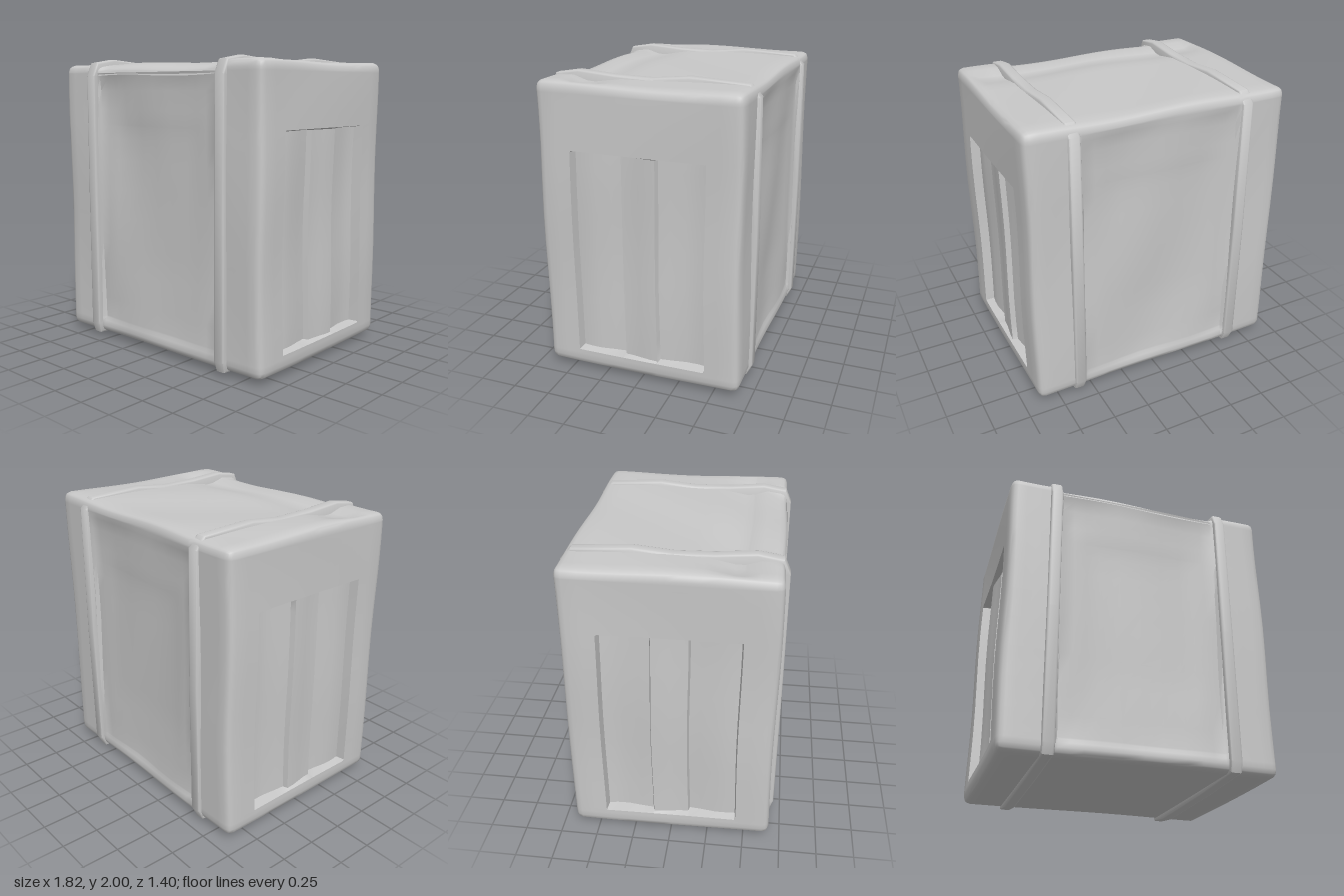
import * as THREE from 'three';
import { mergeVertices, toCreasedNormals } from 'three/addons/utils/BufferGeometryUtils.js';

const HX = 0.905, HZ = 0.67, Y0 = 0.035, Y1 = 1.965, R = 0.05;

// smooth step from 0 to 1 between a and b
const step = (v, a, b) => THREE.MathUtils.smoothstep(v, a, b);
// 1 inside the interval a..b, falling to 0 over width w outside it
const band = (v, a, b, w) => step(v, a - w, a) * (1 - step(v, b, b + w));
const mirror = (list) => [...list.map((v) => -v).reverse(), 0, ...list];

// Wrapped bale: a box grid with soft edges, sunken panels and creased cloth
function bodyGeometry() {
  const xs = mirror([0.14, 0.28, 0.38, 0.46, 0.54, 0.56, 0.6, 0.7, 0.8, 0.86, 0.89, HX]);
  const zs = mirror([0.06, 0.115, 0.125, 0.2, 0.3, 0.38, 0.435, 0.445, 0.53, 0.62, 0.65, HZ]);
  const ys = [Y0, 0.05, 0.085, 0.12, 0.145, 0.155, 0.3, 0.5, 0.7, 0.9, 1.1, 1.3, 1.45,
    1.535, 1.545, 1.65, 1.78, 1.86, 1.9, 1.915, 1.95, Y1];
  const nx = xs.length - 1, ny = ys.length - 1, nz = zs.length - 1;
  let geo = new THREE.BoxGeometry(nx, ny, nz, nx, ny, nz);
  geo.deleteAttribute('uv');
  geo.deleteAttribute('normal');
  const pos = geo.attributes.position;
  const p = new THREE.Vector3(), inner = new THREE.Vector3();
  const lo = new THREE.Vector3(-HX + R, Y0 + R, -HZ + R);
  const hi = new THREE.Vector3(HX - R, Y1 - R, HZ - R);
  for (let i = 0; i < pos.count; i++) {
    const x = xs[Math.round(pos.getX(i) + nx / 2)];
    const y = ys[Math.round(pos.getY(i) + ny / 2)];
    const z = zs[Math.round(pos.getZ(i) + nz / 2)];
    // rounded edges
    p.set(x, y, z);
    inner.copy(p).clamp(lo, hi);
    p.sub(inner);
    if (p.length() > 0) p.setLength(R);
    p.add(inner);
    // pleated recesses in both ends, with a raised middle fold
    if (Math.abs(x) === HX) {
      const opening = band(z, -0.435, 0.435, 0.01) * band(y, 0.155, 1.535, 0.01);
      const fold = band(z, -0.115, 0.115, 0.01);
      p.x -= Math.sign(x) * opening * (0.065 - 0.035 * fold + 0.012 * Math.sin(z * 14));
    }
    // panels between the straps, front and back
    if (Math.abs(z) === HZ) {
      const panel = band(x, -0.54, 0.54, 0.02) * band(y, 0.16, 1.82, 0.08);
      const sag = band(x, -0.33, 0.33, 0.12) * band(y, 0.5, 1.45, 0.25);
      p.z -= Math.sign(z) * (panel * 0.018 + sag * 0.015
        + panel * 0.006 * Math.sin(x * 9 + y * 3));
    }
    // lower front lip and shallow trough on top
    if (y > 1.9) {
      p.y -= 0.035 * step(z, 0.5, 0.67) * band(x, -0.54, 0.54, 0.05);
      p.y -= 0.03 * band(z, 0.36, 0.42, 0.12) * band(x, -0.8, 0.8, 0.08);
      p.y += 0.007 * Math.sin(x * 6 + z * 5);
    }
    if (y < 0.1) p.y += 0.008 * Math.cos(x * 3.5) * Math.cos(z * 2);
    // slight wander of the cloth
    p.x += 0.005 * Math.sin(y * 5 + z * 3);
    p.z += 0.005 * Math.sin(y * 4 + x * 5);
    pos.setXYZ(i, p.x, p.y, p.z);
  }
  geo = mergeVertices(geo, 1e-4);
  return toCreasedNormals(geo, 0.75);
}

// Strap: a flat closed loop around the bale, bevelled along its edges
function strapGeometry() {
  const outer = [[0.67, 0.04], [0.69, 0.1], [0.69, 1], [0.685, 1.88], [0.65, 1.96],
    [0.5, 1.985], [0.25, 1.965], [0, 1.96], [-0.25, 1.985], [-0.62, 1.965], [-0.68, 1.9],
    [-0.69, 1], [-0.685, 0.1], [-0.65, 0.03], [-0.5, 0.01], [0.2, 0.02]];
  const shape = new THREE.Shape(outer.map(([z, y]) => new THREE.Vector2(z, y)));
  const hole = outer.map(([z, y]) => new THREE.Vector2(z * 0.88, 1 + (y - 1) * 0.9));
  shape.holes.push(new THREE.Path(hole.reverse()));
  const geo = new THREE.ExtrudeGeometry(shape, {
    depth: 0.05, bevelEnabled: true, bevelThickness: 0.015, bevelSize: 0.012, bevelSegments: 2,
  });
  geo.translate(0, 0, -0.025);
  geo.rotateY(-Math.PI / 2); // shape x becomes +z
  return toCreasedNormals(geo, 0.8);
}

export function createModel() {
  const group = new THREE.Group();
  group.name = 'strappedBale';
  const cloth = new THREE.MeshStandardMaterial({ color: 0xc8c8c8 });
  cloth.name = 'pale grey cloth';

  const body = new THREE.Mesh(bodyGeometry(), cloth);
  body.name = 'wrappedBody';
  group.add(body);

  const strapGeo = strapGeometry();
  for (const [name, x] of [['leftStrap', 0.6], ['rightStrap', -0.6]]) {
    const strap = new THREE.Mesh(strapGeo, cloth);
    strap.name = name;
    strap.position.x = x;
    group.add(strap);
  }
  return group;
}
